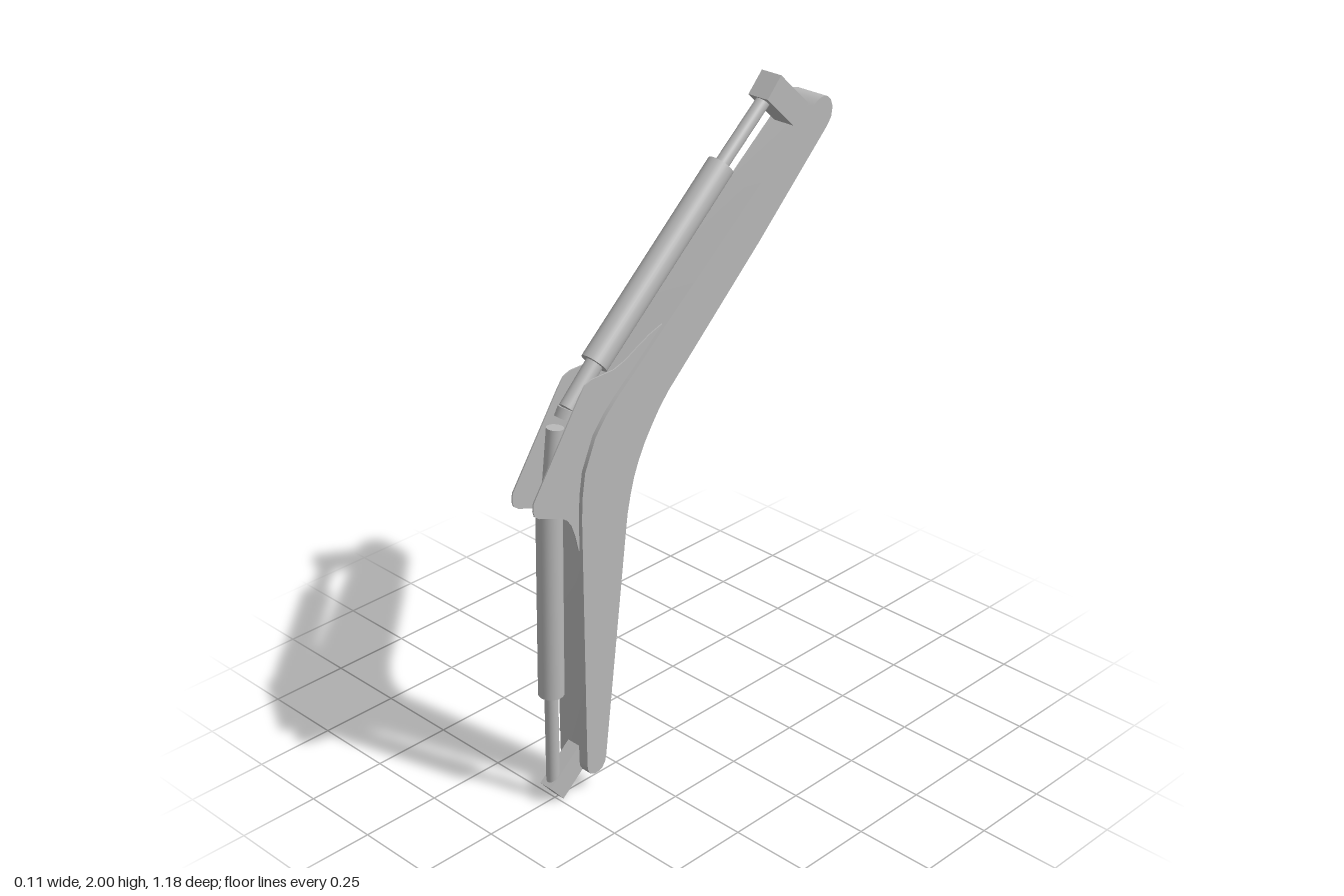
import * as THREE from 'three';
import { toCreasedNormals } from 'three/addons/utils/BufferGeometryUtils.js';

export function createModel() {
  const model = new THREE.Group();
  model.name = 'excavatorBoom';
  const steel = new THREE.MeshStandardMaterial({ color: 0xb8b8b8 });
  steel.name = 'grey steel';

  function add(name, geometry) {
    const mesh = new THREE.Mesh(geometry, steel);
    mesh.name = name;
    model.add(mesh);
    return mesh;
  }

  // Plate with a side outline of [z, y] points, thickened along x
  function profile(name, points, width, x = 0) {
    const shape = new THREE.Shape(points.map(([z, y]) => new THREE.Vector2(z, y)));
    const geo = new THREE.ExtrudeGeometry(shape, { depth: width, bevelEnabled: false });
    geo.translate(0, 0, -width / 2).rotateY(-Math.PI / 2).translate(x, 0, 0);
    return add(name, toCreasedNormals(geo, 0.6));
  }

  // Round bar between two [z, y] points
  function bar(name, a, b, radius) {
    const from = new THREE.Vector3(0, a[1], a[0]);
    const dir = new THREE.Vector3(0, b[1], b[0]).sub(from);
    const mesh = add(name, new THREE.CylinderGeometry(radius, radius, dir.length(), 32));
    mesh.position.copy(from).addScaledVector(dir, 0.5);
    mesh.quaternion.setFromUnitVectors(new THREE.Vector3(0, 1, 0), dir.normalize());
  }

  // Square block between two [z, y] points
  function block(name, a, b, width, height) {
    const dz = b[0] - a[0], dy = b[1] - a[1];
    const mesh = add(name, new THREE.BoxGeometry(width, height, Math.hypot(dz, dy)));
    mesh.position.set(0, (a[1] + b[1]) / 2, (a[0] + b[0]) / 2);
    mesh.rotation.x = -Math.atan2(dy, dz);
  }

  // Bent main boom
  profile('boom', [
    [0.42, 0.1], [0.422, 0.92], [0.418, 0.99], [0.407, 1.06], [0.365, 1.155],
    [0.325, 1.205], [0.28, 1.247], [0.19, 1.32], [0.095, 1.4], [-0.505, 1.89],
    [-0.525, 1.903], [-0.545, 1.908], [-0.565, 1.904], [-0.58, 1.89], [-0.588, 1.868],
    [-0.583, 1.838], [-0.566, 1.815], [-0.286, 1.54], [0.08, 1.2], [0.117, 1.158],
    [0.148, 1.114], [0.177, 1.069], [0.2, 1.024], [0.219, 0.977], [0.233, 0.928],
    [0.246, 0.87], [0.254, 0.81], [0.344, 0.1], [0.349, 0.08], [0.36, 0.065],
    [0.374, 0.058], [0.39, 0.058], [0.408, 0.066], [0.417, 0.08],
  ], 0.114);

  // Thin bracket plates on both sides of the pivots
  for (const side of [-1, 1]) {
    profile(side > 0 ? 'leftBracket' : 'rightBracket', [
      [0.587, 1.03], [0.41, 1.29], [0.39, 1.315], [0.365, 1.325], [0.28, 1.326],
      [0.235, 1.34], [0.19, 1.363], [0.14, 1.387], [0.085, 1.405], [0.1, 1.34],
      [0.28, 1.12], [0.36, 0.95], [0.41, 0.8], [0.425, 0.82], [0.437, 0.87],
      [0.45, 0.907], [0.466, 0.93], [0.487, 0.945], [0.57, 0.976], [0.585, 0.988],
      [0.59, 1.005],
    ], 0.004, side * 0.042);
  }

  // Upper hydraulic cylinder
  bar('upperBarrel', [0.312, 1.342], [-0.185, 1.782], 0.041);
  bar('upperRod', [-0.18, 1.778], [-0.40, 1.965], 0.021);
  bar('upperRodEnd', [0.415, 1.24], [0.305, 1.348], 0.026);
  bar('upperCollar', [0.415, 1.205], [0.4, 1.23], 0.04);

  // Lower hydraulic cylinder
  bar('lowerBarrel', [0.503, 0.363], [0.492, 0.963], 0.038);
  bar('lowerRod', [0.505, 0.06], [0.503, 0.37], 0.02);
  bar('lowerRodEnd', [0.492, 0.955], [0.462, 1.2], 0.025);

  // Mounting blocks at the two boom ends
  block('upperMount', [-0.361, 1.973], [-0.515, 1.83], 0.073, 0.08);
  block('lowerMount', [0.511, 0.029], [0.396, 0.125], 0.046, 0.075);

  return model;
}
